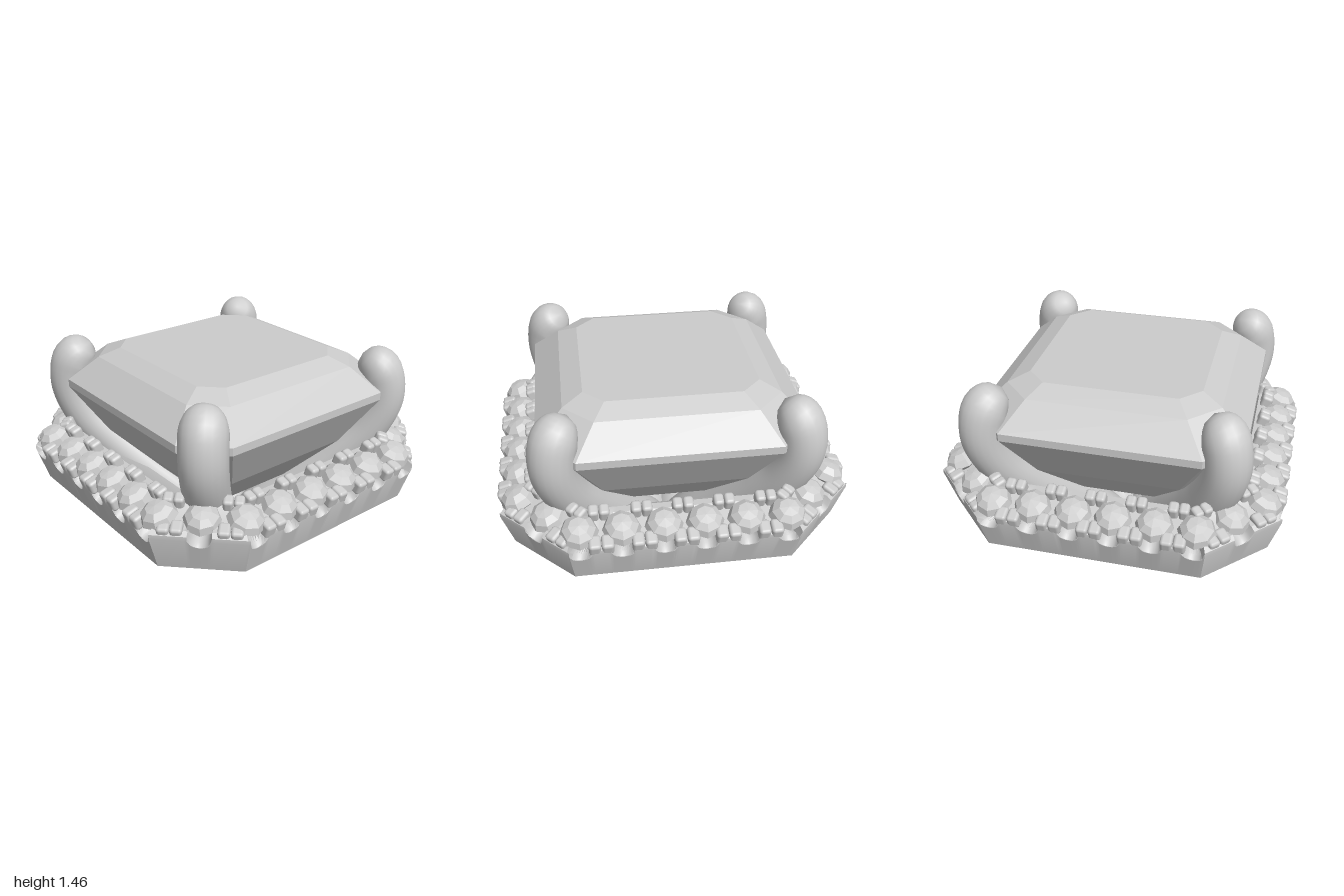
import * as THREE from 'three';
import { mergeVertices, toCreasedNormals } from 'three/addons/utils/BufferGeometryUtils.js';
import { RoundedBoxGeometry } from 'three/addons/geometries/RoundedBoxGeometry.js';

const smooth = new THREE.MeshStandardMaterial({ color: 0xcccccc });
const faceted = new THREE.MeshStandardMaterial({ color: 0xcccccc, flatShading: true });

const STONES = [-0.56, -0.335, -0.11, 0.11, 0.335, 0.56];
const CLAWS = [-0.45, -0.222, 0, 0.222, 0.45];

// Skins octagonal rings [halfWidth, sideHalfLength, y, notchWeight], bottom to top outside.
// notch(along, isCorner) gives how far the rim drops at a place on a side.
function octagonLoft(rings, sideSteps, cornerSteps, closed, notch = () => 0) {
  const pos = [], idx = [];
  for (const [h, c, y, w = 0] of rings) {
    for (let k = 0; k < 8; k++) {
      const corner = k % 2 === 1, a = k * Math.PI / 4;
      const steps = corner ? cornerSteps : sideSteps;
      const dist = corner ? (h + c) / Math.SQRT2 : h;
      const half = corner ? (h - c) / Math.SQRT2 : c;
      for (let i = 0; i < steps; i++) {
        const s = half * (2 * i / steps - 1);
        const drop = w * notch(s, corner), d = dist - drop * 0.25;
        pos.push(d * Math.sin(a) + s * Math.cos(a), y - drop, d * Math.cos(a) - s * Math.sin(a));
      }
    }
  }
  const n = 4 * (sideSteps + cornerSteps), m = rings.length;
  for (let j = 0; j < (closed ? m : m - 1); j++) {
    for (let i = 0; i < n; i++) {
      const i2 = (i + 1) % n, p = j * n, q = ((j + 1) % m) * n;
      idx.push(p + i, p + i2, q + i2, p + i, q + i2, q + i);
    }
  }
  const g = new THREE.BufferGeometry();
  g.setAttribute('position', new THREE.Float32BufferAttribute(pos, 3));
  g.setIndex(idx);
  g.computeVertexNormals();
  return g;
}

// Tube along a curve, thinned to a rounded tip and closed at the foot
function prongGeometry(curve, R) {
  const n = 64, radial = 20, len = curve.getLength();
  const g = new THREE.TubeGeometry(curve, n, 1, radial, false);
  const p = g.attributes.position, v = new THREE.Vector3();
  for (let i = 0; i < p.count; i++) {
    const ring = Math.floor(i / (radial + 1));
    const c = curve.getPointAt(ring / n);
    const toTip = len * (1 - ring / n), tipR = R * 1.3;
    let r = ring === 0 ? 0 : R;
    if (toTip < tipR) r = R * Math.sqrt(Math.max(0, 1 - (1 - toTip / tipR) ** 2));
    v.fromBufferAttribute(p, i).sub(c).multiplyScalar(r).add(c);
    p.setXYZ(i, v.x, v.y, v.z);
  }
  g.deleteAttribute('uv');
  g.deleteAttribute('normal');
  const merged = mergeVertices(g);
  merged.computeVertexNormals();
  return merged;
}

export function createModel() {
  const root = new THREE.Group();
  const add = (parent, name, geo, mat, x = 0, y = 0, z = 0, tilt = 0) => {
    const mesh = new THREE.Mesh(geo, mat);
    mesh.name = name;
    mesh.position.set(x, y, z);
    mesh.rotation.x = tilt;
    parent.add(mesh);
    return mesh;
  };

  // Step-cut centre stone
  const gem = octagonLoft([
    [0, 0, 0.46], [0.32, 0.22, 0.62], [0.58, 0.41, 0.9], [0.755, 0.55, 1.19],
    [0.755, 0.55, 1.235], [0.6, 0.44, 1.375], [0.485, 0.375, 1.425], [0, 0, 1.425],
  ], 1, 1, false);
  add(root, 'centreStone', gem, faceted);

  // Halo frame with round notches cut into its rim below each small stone
  const notch = (s, corner) => {
    let drop = 0;
    for (const c of corner ? [0] : STONES) {
      const u = Math.abs(s - c) / 0.06;
      if (u < 1) drop = 0.075 * Math.sqrt(1 - u * u);
    }
    return drop;
  };
  const halo = octagonLoft([
    [0.41, 0.35, 0.59], [0.905, 0.59, 0.59], [0.925, 0.6, 0.605], [0.985, 0.62, 0.81, 0.6],
    [0.985, 0.62, 0.835, 1], [0.96, 0.61, 0.855, 1], [0.89, 0.58, 0.86, 0.9],
    [0.79, 0.56, 0.92], [0.745, 0.54, 0.92], [0.7, 0.5, 0.83], [0.41, 0.35, 0.64],
  ], 96, 40, true, notch);
  add(root, 'haloFrame', toCreasedNormals(halo, 0.6), smooth);

  // Small halo stones and the paired claws that hold them
  const stoneGeo = new THREE.LatheGeometry(
    [[0, -0.08], [0.105, 0], [0.09, 0.04], [0.055, 0.068], [0, 0.075]]
      .map(([x, y]) => new THREE.Vector2(x, y)), 8);
  const outerGeo = new RoundedBoxGeometry(0.066, 0.08, 0.085, 2, 0.018);
  const innerGeo = new RoundedBoxGeometry(0.056, 0.085, 0.07, 2, 0.018);
  const clawPair = (parent, name, geo, s, y, z, gap) => {
    for (const side of [-1, 1]) add(parent, name, geo, smooth, s + side * gap, y, z, 0.3);
  };
  for (let k = 0; k < 4; k++) {
    const side = new THREE.Group();
    side.name = 'haloSide';
    side.rotation.y = k * Math.PI / 2;
    for (const s of STONES) add(side, 'haloStone', stoneGeo, faceted, s, 0.875, 0.875, 0.35);
    for (const s of CLAWS) {
      clawPair(side, 'outerClaw', outerGeo, s, 0.845, 0.95, 0.034);
      clawPair(side, 'innerClaw', innerGeo, s, 0.935, 0.8, 0.029);
    }
    root.add(side);

    const corner = new THREE.Group();
    corner.name = 'haloCorner';
    corner.rotation.y = (k + 0.5) * Math.PI / 2;
    add(corner, 'haloStone', stoneGeo, faceted, 0, 0.865, 1.015, 0.35);
    for (const s of [-0.155, 0.155]) {
      clawPair(corner, 'outerClaw', outerGeo, s, 0.845, 1.09, 0.034);
      clawPair(corner, 'innerClaw', innerGeo, s, 0.93, 0.95, 0.029);
    }
    root.add(corner);
  }

  // Four prongs rising diagonally from a shared stem
  const path = new THREE.CatmullRomCurve3(
    [[0.09, 0.085], [0.095, 0.2], [0.18, 0.37], [0.36, 0.59], [0.52, 0.8],
      [0.62, 0.97], [0.67, 1.16], [0.65, 1.32], [0.575, 1.42]]
      .map(([d, y]) => new THREE.Vector3(d, y, d)));
  const prongGeo = prongGeometry(path, 0.13);
  for (let k = 0; k < 4; k++) {
    add(root, 'prong', prongGeo, smooth).rotation.y = k * Math.PI / 2;
  }

  // Peg under the stem
  add(root, 'peg', new RoundedBoxGeometry(0.3, 0.14, 0.175, 2, 0.008), smooth, -0.01, 0.07, 0);
  return root;
}
